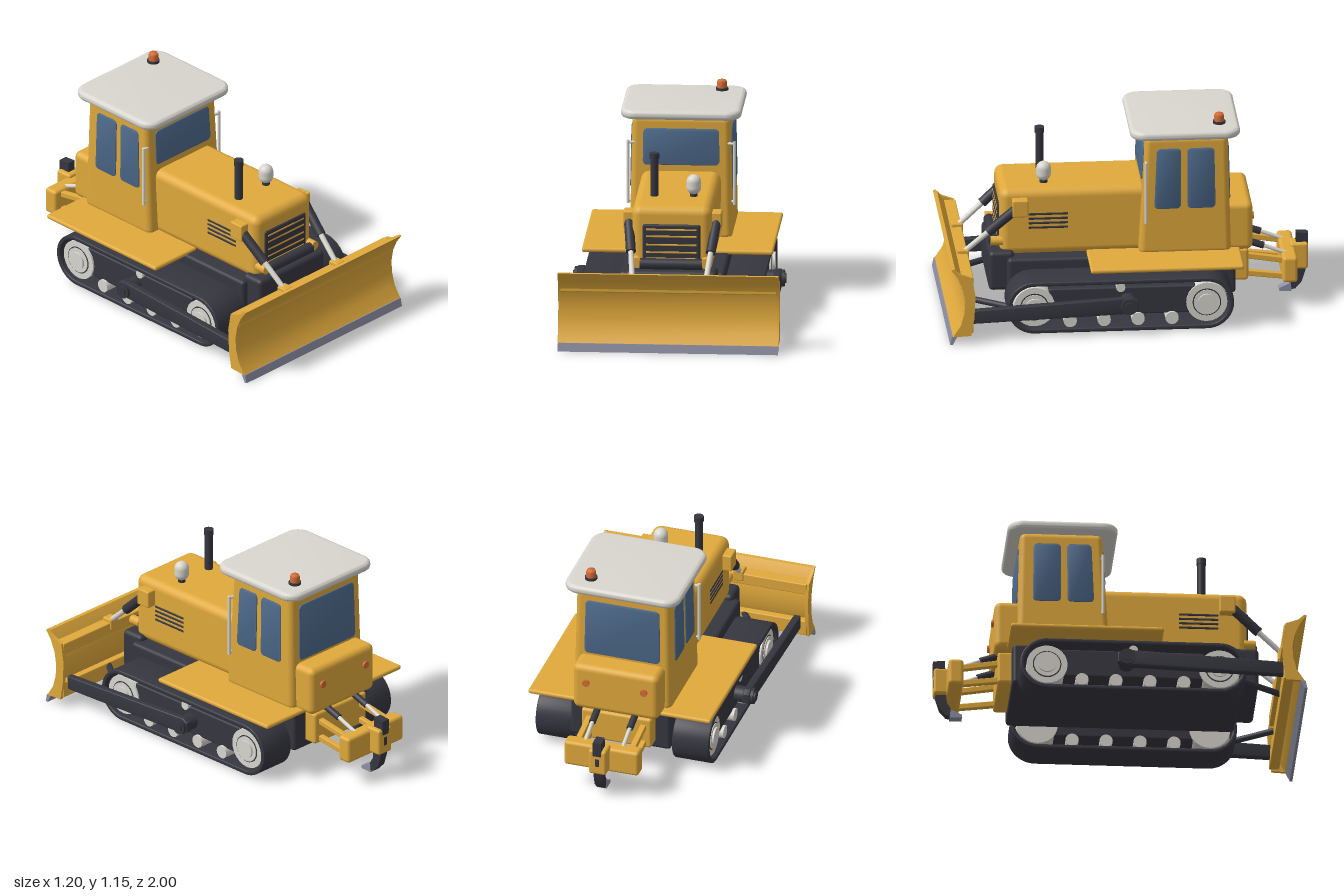
import * as THREE from 'three';
import { toCreasedNormals } from 'three/addons/utils/BufferGeometryUtils.js';
import { RoundedBoxGeometry } from 'three/addons/geometries/RoundedBoxGeometry.js';

const material = (name, color) => {
  const m = new THREE.MeshStandardMaterial({ color });
  m.name = name;
  return m;
};

export function createModel() {
  const yellow = material('yellow paint', 0xe0a93c);
  const dark = material('dark steel', 0x363640);
  const white = material('off white', 0xd9d6cf);
  const glass = material('blue glass', 0x4f6c8e);
  const orange = material('orange lamp', 0xd56c35);
  const steel = material('worn steel', 0x8f91a5);

  const model = new THREE.Group();
  model.name = 'bulldozer';
  const V = (x, y, z) => new THREE.Vector3(x, y, z);
  const add = (name, geometry, mat) => {
    const mesh = new THREE.Mesh(geometry, mat);
    mesh.name = name;
    model.add(mesh);
    return mesh;
  };
  // Rounded box from its limits
  const box = (name, mat, [x0, x1], [y0, y1], [z0, z1], r = 0.012) => {
    const g = new RoundedBoxGeometry(x1 - x0, y1 - y0, z1 - z0, 3, r);
    return add(name, g.translate((x0 + x1) / 2, (y0 + y1) / 2, (z0 + z1) / 2), mat);
  };
  // Same, on side s = 1 or -1
  const sideBox = (name, mat, s, [a, b], y, z, r) =>
    box(name, mat, s > 0 ? [a, b] : [-b, -a], y, z, r);
  // Round bar between two points
  const rod = (name, mat, p, q, r, r2 = r) => {
    const d = q.clone().sub(p);
    const mesh = add(name, new THREE.CylinderGeometry(r2, r, d.length(), 24), mat);
    mesh.position.copy(p).add(q).multiplyScalar(0.5);
    mesh.quaternion.setFromUnitVectors(V(0, 1, 0), d.normalize());
    return mesh;
  };
  // Side profile in (z, y), extruded from x0 to x1
  const profile = (name, mat, shape, x0, x1, bevel = 0) => {
    const g = new THREE.ExtrudeGeometry(shape, {
      depth: x1 - x0 - 2 * bevel, curveSegments: 24, bevelEnabled: bevel > 0,
      bevelSize: bevel, bevelThickness: bevel, bevelOffset: -bevel, bevelSegments: 3,
    });
    g.rotateY(-Math.PI / 2).translate(x1 - bevel, 0, 0);
    return add(name, toCreasedNormals(g, 0.6), mat);
  };
  const polygon = (pts) => new THREE.Shape(pts.map(([a, b]) => new THREE.Vector2(a, b)));
  const roundRect = (w, h, r) => {
    const s = new THREE.Shape(), x = w / 2 - r, y = h / 2 - r;
    s.absarc(x, y, r, 0, Math.PI / 2);
    s.absarc(-x, y, r, Math.PI / 2, Math.PI);
    s.absarc(-x, -y, r, Math.PI, 1.5 * Math.PI);
    s.absarc(x, -y, r, 1.5 * Math.PI, 2 * Math.PI);
    s.closePath();
    return s;
  };

  // Chassis and hood
  box('chassis', dark, [-0.285, 0.285], [0.13, 0.365], [-0.585, 0.66], 0.02);
  box('radiatorGuard', dark, [-0.25, 0.25], [0.17, 0.395], [0.62, 0.76], 0.025);
  box('hood', yellow, [-0.217, 0.217], [0.36, 0.742], [-0.12, 0.697], 0.048);
  box('grille', dark, [-0.157, 0.157], [0.43, 0.645], [0.68, 0.707], 0.01);
  for (const y of [0.617, 0.579, 0.532, 0.49, 0.455])
    box('grilleGap', yellow, [-0.138, 0.138], [y - 0.005, y + 0.005], [0.702, 0.709], 0.002);
  rod('guardBar', dark, V(-0.17, 0.43, 0.725), V(0.17, 0.43, 0.725), 0.03);

  // Exhaust stack and air cleaner
  rod('exhaust', dark, V(-0.11, 0.73, 0.455), V(-0.11, 0.955, 0.455), 0.022);
  rod('exhaustTip', dark, V(-0.11, 0.95, 0.455), V(-0.11, 0.982, 0.455), 0.027);
  rod('cleanerStem', dark, V(0.105, 0.73, 0.45), V(0.105, 0.79, 0.45), 0.021);
  add('airCleaner', new THREE.CapsuleGeometry(0.04, 0.03, 12, 28), white)
    .position.set(0.105, 0.808, 0.45);

  // Cab and windows share one taper towards the roof
  const zc = -0.308;
  const taper = (g) => {
    const p = g.attributes.position;
    for (let i = 0; i < p.count; i++) {
      const t = (p.getY(i) - 0.36) / 0.685, z = p.getZ(i) - zc;
      p.setX(i, p.getX(i) * (1 - 0.045 * t));
      p.setZ(i, zc + z * (1 - (z > 0 ? 0.16 : 0.07) * t));
    }
    return g;
  };
  add('cab', taper(new RoundedBoxGeometry(0.56, 0.685, 0.506, 4, 0.035)
    .translate(0, 0.7025, zc)), yellow);
  const pane = (name, w, y0, y1, angle, x, z) => {
    const g = new THREE.ExtrudeGeometry(roundRect(w, y1 - y0, 0.025), {
      depth: 0.003, bevelThickness: 0.005, bevelSize: 0.005, bevelOffset: -0.005, bevelSegments: 2,
    });
    g.rotateY(angle).translate(x, (y0 + y1) / 2, z);
    add(name, toCreasedNormals(taper(g), 0.7), glass);
  };
  pane('frontWindow', 0.43, 0.775, 0.977, 0, 0, -0.056);
  pane('rearWindow', 0.44, 0.65, 0.977, Math.PI, 0, -0.56);
  for (const s of [1, -1]) {
    pane('frontSideWindow', 0.155, 0.63, 0.977, s * Math.PI / 2, s * 0.279, -0.206);
    pane('rearSideWindow', 0.158, 0.63, 0.977, s * Math.PI / 2, s * 0.279, -0.4);
  }

  // Roof and beacon
  const roof = new THREE.ExtrudeGeometry(roundRect(0.656, 0.6, 0.085), {
    depth: 0.006, bevelThickness: 0.022, bevelSize: 0.022, bevelOffset: -0.022,
    bevelSegments: 5, curveSegments: 12,
  });
  roof.rotateX(-Math.PI / 2).translate(0, 1.063, -0.31);
  add('roof', toCreasedNormals(roof, 0.7), white);
  rod('beaconBase', dark, V(0.195, 1.085, -0.5), V(0.195, 1.105, -0.5), 0.034);
  add('beacon', new THREE.LatheGeometry([[0.027, 0], [0.027, 0.032], [0.022, 0.043], [0, 0.047]]
    .map(([r, y]) => new THREE.Vector2(r, y)), 24), orange).position.set(0.195, 1.104, -0.5);

  // Rear tank and ripper
  box('rearTank', yellow, [-0.245, 0.245], [0.36, 0.637], [-0.68, -0.5], 0.035);
  box('ripperMount', yellow, [-0.2, 0.2], [0.17, 0.352], [-0.66, -0.57], 0.015);
  box('ripperBeam', yellow, [-0.213, 0.213], [0.15, 0.298], [-0.928, -0.846], 0.018);
  box('shankHolder', yellow, [-0.05, 0.05], [0.165, 0.315], [-0.998, -0.9], 0.014);
  const shank = polygon([[-0.935, 0.37], [-0.93, 0.2], [-0.925, 0.12], [-0.895, 0.07], [-0.875, 0.06],
    [-0.88, 0.035], [-0.93, 0.045], [-0.965, 0.085], [-0.985, 0.15], [-1, 0.3], [-1, 0.365]]);
  profile('ripperShank', dark, shank, -0.024, 0.024);
  profile('ripperTip', steel, polygon([[-0.905, 0.08], [-0.843, 0.05], [-0.843, 0.032], [-0.91, 0.03]]),
    -0.027, 0.027);

  // Blade
  const front = [[0.995, 0.437], [0.958, 0.385], [0.93, 0.32], [0.918, 0.25], [0.922, 0.18],
    [0.942, 0.11], [0.985, 0.045]];
  const back = front.map(([z, y]) => [z - 0.022, y]).reverse();
  profile('bladePlate', yellow, polygon([...front, ...back]), -0.59, 0.59);
  profile('cuttingEdge', steel, polygon([[0.985, 0], [1, 0], [0.99, 0.046], [0.962, 0.046]]), -0.6, 0.6);
  box('bladeUpperRail', yellow, [-0.59, 0.59], [0.32, 0.385], [0.872, 0.938], 0.006);
  box('bladeLowerRail', yellow, [-0.59, 0.59], [0.06, 0.15], [0.872, 0.928], 0.006);
  const endPlate = polygon([...front, [0.885, 0.05], [0.868, 0.15], [0.862, 0.28], [0.88, 0.385],
    [0.95, 0.41], [0.982, 0.44]]);

  // Track loop outline
  const loop = (path, r) => {
    path.absarc(0.53, 0.158, r, -Math.PI / 2, Math.PI / 2);
    path.absarc(-0.41, 0.158, r, Math.PI / 2, 1.5 * Math.PI);
    path.closePath();
    return path;
  };
  const belt = loop(new THREE.Shape(), 0.148);
  belt.holes.push(loop(new THREE.Path(), 0.124));
  const arm = polygon([[0.88, 0.1], [0.88, 0.176], [0, 0.224], [-0.03, 0.205], [-0.03, 0.15], [0, 0.132]]);

  for (const s of [1, -1]) {
    const span = (a, b) => (s > 0 ? [a, b] : [-b, -a]);
    const wheel = (name, mat, a, b, y, z, r) => rod(name, mat, V(s * a, y, z), V(s * b, y, z), r);

    // Running gear
    profile('track', dark, belt, ...span(0.283, 0.495), 0.006);
    sideBox('trackFrame', dark, s, [0.31, 0.465], [0.095, 0.255], [-0.35, 0.45], 0.01);
    for (const z of [0.53, -0.41]) {
      wheel('trackWheel', white, 0.3, 0.475, 0.158, z, 0.112);
      wheel('wheelRim', dark, 0.47, 0.477, 0.158, z, 0.078);
      wheel('wheelDisc', white, 0.47, 0.481, 0.158, z, 0.072);
      wheel('wheelHub', white, 0.47, 0.492, 0.158, z, 0.05);
    }
    for (const z of [0.335, 0.15, -0.035, -0.22]) wheel('roller', white, 0.3, 0.48, 0.072, z, 0.036);
    wheel('carrierRoller', white, 0.3, 0.48, 0.257, 0.06, 0.025);
    sideBox('fender', yellow, s, [0.2, 0.521], [0.355, 0.381], [-0.61, 0.225], 0.012);

    // Blade arm, pivot and brace
    profile('pushArm', dark, arm, ...span(0.515, 0.556), 0.006);
    wheel('armPivot', dark, 0.44, 0.572, 0.176, 0.02, 0.045);
    wheel('pivotCap', dark, 0.56, 0.58, 0.176, 0.02, 0.028);
    rod('bladeBrace', dark, V(s * 0.4, 0.13, 0.64), V(s * 0.23, 0.13, 0.885), 0.017);
    profile('bladeEnd', yellow, endPlate, ...span(0.583, 0.602));

    // Lift cylinder
    sideBox('liftBracket', yellow, s, [0.2, 0.268], [0.6, 0.697], [0.545, 0.632], 0.008);
    const top = V(s * 0.238, 0.64, 0.61), mid = V(s * 0.217, 0.505, 0.76), end = V(s * 0.2, 0.38, 0.9);
    rod('liftCylinder', dark, top, mid, 0.027);
    add('cylinderCap', new THREE.SphereGeometry(0.027, 20, 12), dark).position.copy(top);
    rod('liftRod', white, mid, end, 0.015);
    sideBox('rodBracket', yellow, s, [0.17, 0.23], [0.34, 0.405], [0.865, 0.93], 0.008);
    rod('guardKnob', yellow, V(s * 0.187, 0.44, 0.68), V(s * 0.187, 0.44, 0.745), 0.026);

    // Hood vents
    for (let i = 0; i < 4; i++)
      sideBox('hoodVent', dark, s, [0.212, 0.221], [0.515 + i * 0.026, 0.527 + i * 0.026], [0.325, 0.54], 0.003);

    // Handrail
    const x = s * 0.29;
    rod('handrail', white, V(x, 0.555, -0.093), V(x, 0.907, -0.093), 0.009);
    for (const y of [0.57, 0.895])
      rod('railStub', white, V(s * 0.24, y, -0.1), V(x, y, -0.093), 0.008);

    // Tail lamp, ripper links and cylinders
    rod('tailLamp', orange, V(s * 0.165, 0.535, -0.67), V(s * 0.165, 0.535, -0.692), 0.02);
    for (const [y0, y1] of [[0.3, 0.268], [0.2, 0.175]]) {
      const link = sideBox('ripperLink', yellow, s, [0.138, 0.17], [-0.016, 0.016], [-0.125, 0.125], 0.005);
      link.position.set(0, (y0 + y1) / 2, -0.75);
      link.rotation.x = -Math.atan2(y0 - y1, 0.2);
    }
    const lx = s * 0.107;
    rod('ripperCylinder', dark, V(lx, 0.385, -0.6), V(lx, 0.335, -0.75), 0.019);
    rod('ripperRod', white, V(lx, 0.335, -0.75), V(lx, 0.285, -0.88), 0.011);
  }
  // Slot on the shank holder
  box('shankPin', dark, [-0.012, 0.012], [0.215, 0.265], [-0.999, -0.99], 0.003);
  return model;
}
